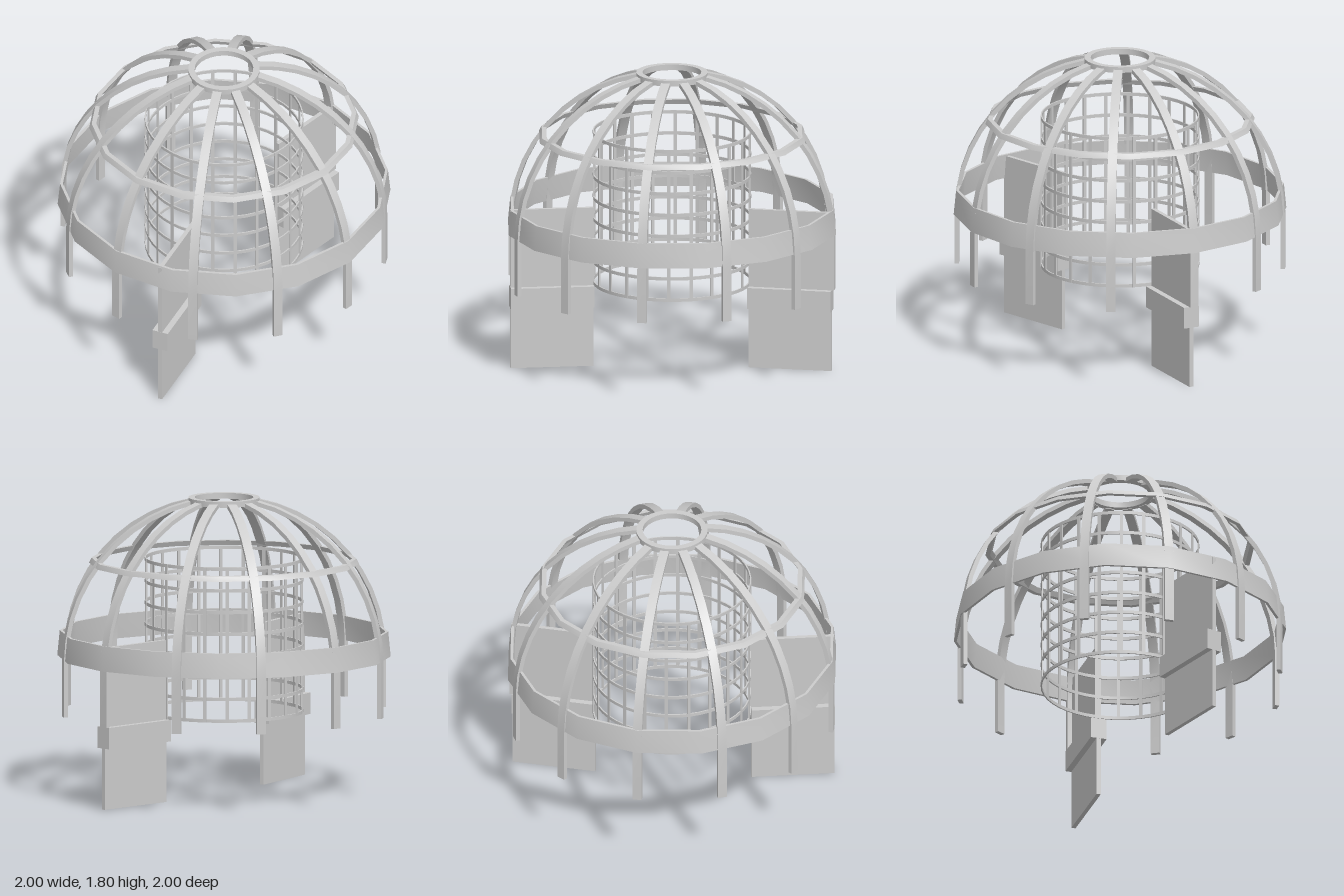
import * as THREE from 'three';
import { toCreasedNormals } from 'three/addons/utils/BufferGeometryUtils.js';

const material = new THREE.MeshStandardMaterial({ color: 0xcccccc });

function part(name, geometry, parent) {
  const mesh = new THREE.Mesh(geometry, material);
  mesh.name = name;
  parent.add(mesh);
  return mesh;
}

// Rectangular hoop; the radii are [bottom, top] so that it can taper
function hoop(outer, thickness, y0, y1, sides) {
  const [a, b] = outer;
  const profile = [
    [a - thickness, y0], [a, y0], [b, y1], [b - thickness, y1], [a - thickness, y0],
  ].map(([x, y]) => new THREE.Vector2(x, y));
  return toCreasedNormals(new THREE.LatheGeometry(profile, sides), 0.5);
}

// Vertical leg that bends over into a dome arc
function ribGeometry() {
  const outer = 0.992, inner = 0.966, centreY = 0.83, width = 0.055, steps = 10, end = 1.365;
  const shape = new THREE.Shape();
  shape.moveTo(inner, 0.5);
  shape.lineTo(outer, 0.5);
  for (let i = 0; i <= steps; i++) {
    const a = (end * i) / steps;
    shape.lineTo(outer * Math.cos(a), centreY + outer * Math.sin(a) * 0.985);
  }
  for (let i = steps; i >= 0; i--) {
    const a = (end * i) / steps;
    shape.lineTo(inner * Math.cos(a), centreY + inner * Math.sin(a) * 0.985);
  }
  const geometry = new THREE.ExtrudeGeometry(shape, { depth: width, bevelEnabled: false });
  geometry.translate(0, 0, -width / 2);
  return toCreasedNormals(geometry, 0.5);
}

// Upright board with a thicker collar around it
function panel(name, x, z, angle, length) {
  const group = new THREE.Group();
  group.name = name;
  part('lowerBoard', new THREE.BoxGeometry(length, 0.37, 0.026), group).position.y = 0.185;
  part('collar', new THREE.BoxGeometry(length + 0.002, 0.13, 0.1), group).position.y = 0.435;
  part('upperBoard', new THREE.BoxGeometry(length, 0.48, 0.026), group).position.y = 0.74;
  group.position.set(x, 0, z);
  group.rotation.y = angle;
  return group;
}

export function createModel() {
  const model = new THREE.Group();
  model.name = 'domeFrame';

  // Dome ribs
  const ribs = new THREE.Group();
  ribs.name = 'ribs';
  const rib = ribGeometry();
  for (let i = 0; i < 12; i++) part('rib', rib, ribs).rotation.y = (i * Math.PI) / 6;
  model.add(ribs);

  // Hoops tying the ribs together
  part('crownRing', hoop([0.214, 0.214], 0.038, 1.765, 1.8, 32), model);
  part('upperHoop', hoop([0.81, 0.795], 0.028, 1.4, 1.43, 16), model);
  part('waistBand', hoop([1.0, 0.985], 0.017, 0.84, 0.99, 16), model);

  // Cylindrical inner cage
  const cage = new THREE.Group();
  cage.name = 'cage';
  const bottom = 0.5, top = 1.44, radius = 0.472, rows = 8, bars = 22;
  for (let i = 0; i < rows; i++) {
    const y = bottom + ((top - bottom - 0.02) * i) / (rows - 1);
    part('cageRing', hoop([radius + 0.004, radius + 0.004], 0.008, y, y + 0.02, bars * 2), cage);
  }
  const bar = new THREE.BoxGeometry(0.008, top - bottom, 0.02);
  for (let i = 0; i < bars; i++) {
    const a = (i * 2 * Math.PI) / bars;
    const mesh = part('cageBar', bar, cage);
    mesh.position.set(radius * Math.cos(a), (bottom + top) / 2, -radius * Math.sin(a));
    mesh.rotation.y = a;
  }
  model.add(cage);

  // Side panels
  model.add(panel('leftPanel', 0.724, 0.014, 0, 0.506));
  model.add(panel('rightPanel', -0.691, 0.225, 0.3, 0.5));

  return model;
}
